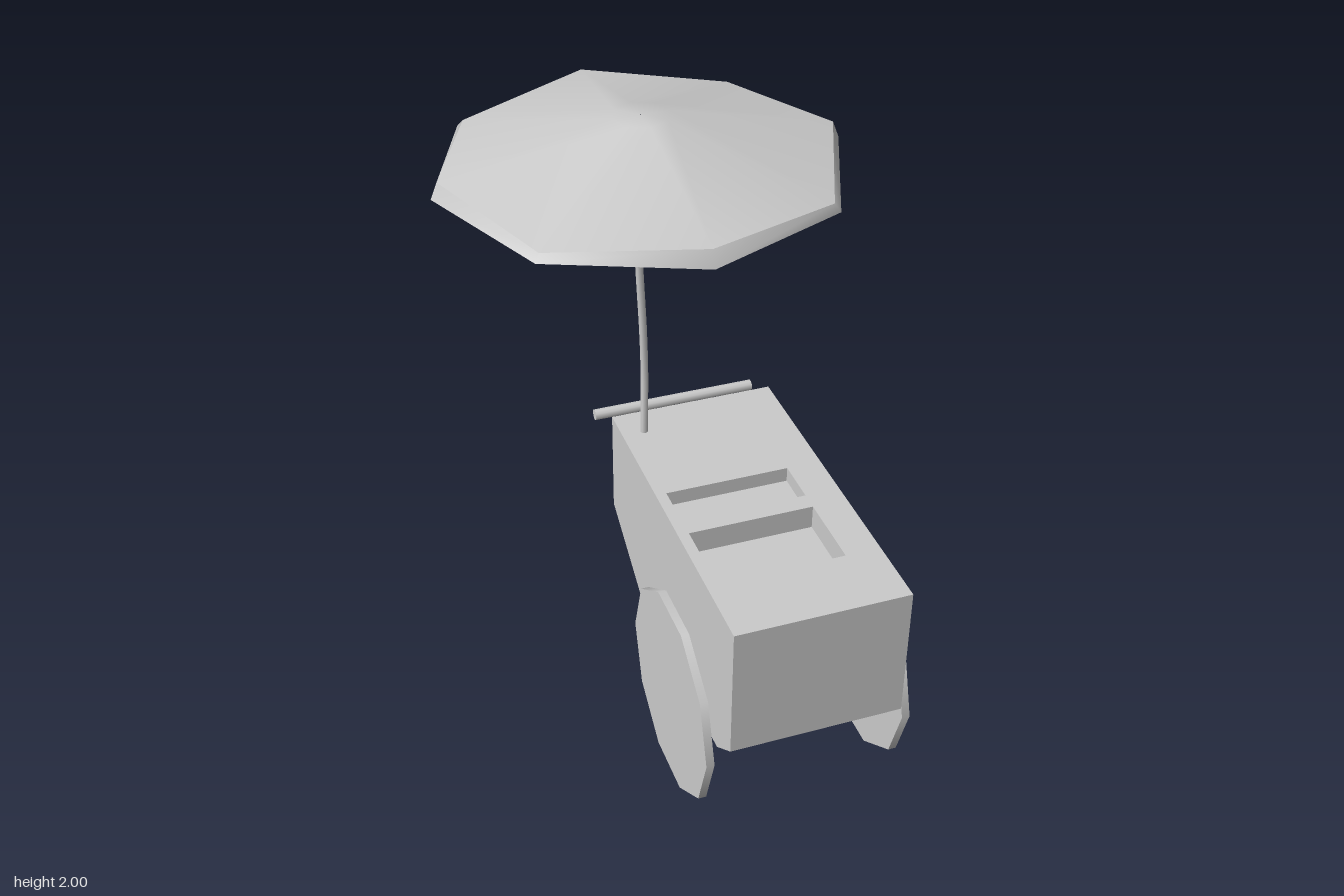
import * as THREE from 'three';

const grey = new THREE.MeshStandardMaterial({ color: 0xcccccc });
const thin = new THREE.MeshStandardMaterial({ color: 0xcccccc, side: THREE.DoubleSide });

export function createModel() {
  const model = new THREE.Group();
  const add = (name, geometry, x = 0, y = 0, z = 0, material = grey) => {
    const mesh = new THREE.Mesh(geometry, material);
    mesh.name = name;
    mesh.position.set(x, y, z);
    model.add(mesh);
    return mesh;
  };
  const polygon = (points) => points.map(([a, b]) => new THREE.Vector2(a, b));
  const rectangle = (x0, x1, z0, z1) => polygon([[x0, -z0], [x0, -z1], [x1, -z1], [x1, -z0]]);

  // Cart box: side profile (z, y) extruded across the width
  const left = 0.48, right = -0.075, width = left - right, middle = (left + right) / 2;
  const top = 0.877, floor = 0.797, front = 0.836, back = -0.3;
  const profile = new THREE.Shape(polygon([
    [back, floor], [back, 0.515], [0, 0.333], [0.725, 0.333], [front, 0.42], [front, floor],
  ]));
  const body = new THREE.ExtrudeGeometry(profile, { depth: width, bevelEnabled: false });
  body.rotateY(-Math.PI / 2);
  add('cartBody', body, left);

  // Countertop with two wells
  const counter = new THREE.Shape(rectangle(right, left, back, front));
  const wells = [[-0.04, 0.366, 0.36, 0.61], [-0.04, 0.366, 0.15, 0.3]];
  for (const w of wells) counter.holes.push(new THREE.Path(rectangle(...w)));
  const counterGeometry = new THREE.ExtrudeGeometry(counter, { depth: top - floor, bevelEnabled: false });
  counterGeometry.rotateX(-Math.PI / 2);
  add('countertop', counterGeometry, 0, floor);
  // Raised floor of the shallower rear well
  add('rearWellFloor', new THREE.BoxGeometry(0.406, 0.03, 0.15), 0.163, floor + 0.015, 0.225);

  // Axle, its housing and the wheels
  const wheelY = 0.327, wheelZ = 0.447;
  add('axleHousing', new THREE.BoxGeometry(width, 0.072, 0.165), middle, 0.301, wheelZ);
  add('axle', new THREE.CylinderGeometry(0.04, 0.04, 0.63, 12).rotateZ(Math.PI / 2), 0.204, 0.33, wheelZ);
  for (const [name, x] of [['leftWheel', 0.526], ['rightWheel', -0.119]]) {
    add(name, new THREE.CylinderGeometry(0.343, 0.343, 0.026, 10).rotateZ(Math.PI / 2), x, wheelY, wheelZ);
  }

  // Push handle
  add('handle', new THREE.CylinderGeometry(0.019, 0.019, 0.556, 10).rotateZ(Math.PI / 2), 0.162, 0.852, -0.365);

  // Slightly crooked umbrella pole
  const path = new THREE.CatmullRomCurve3([
    [0, 0, -0.19], [0, 0.45, -0.19], [0, 0.877, -0.19], [0.006, 1.09, -0.2],
    [0.002, 1.25, -0.198], [-0.014, 1.6, -0.19], [-0.006, 1.83, -0.19], [-0.003, 1.985, -0.195],
  ].map((p) => new THREE.Vector3(...p)));
  add('umbrellaPole', new THREE.TubeGeometry(path, 28, 0.013, 8), 0, 0, 0, thin);
  add('poleFoot', new THREE.CircleGeometry(0.013, 8).rotateX(Math.PI / 2), 0, 0.001, -0.19);

  // Eight-sided umbrella: each ring is [radius, height at axis corners, height at diagonal corners]
  const sides = 8;
  const skin = (rings) => {
    const positions = [], index = [];
    rings.forEach(([r, yAxis, yDiagonal], j) => {
      for (let i = 0; i < sides; i++) {
        const a = (i / sides) * Math.PI * 2;
        positions.push(r * Math.cos(a), i % 2 ? yDiagonal : yAxis, r * Math.sin(a));
        if (j === rings.length - 1) continue;
        const p = j * sides + i, q = j * sides + ((i + 1) % sides);
        index.push(p, p + sides, q, q, p + sides, q + sides);
      }
    });
    const geometry = new THREE.BufferGeometry();
    geometry.setAttribute('position', new THREE.Float32BufferAttribute(positions, 3));
    geometry.setIndex(index);
    geometry.computeVertexNormals();
    return geometry;
  };
  const edge = [0.614, 1.882, 1.853];
  add('umbrellaRim', skin([[0.635, 1.83, 1.83], edge]), 0, 0, -0.2, thin);
  add('umbrellaCanopy', skin([edge, [0.09, 1.998, 1.998], [0.002, 2, 2]]), 0, 0, -0.2, thin);

  return model;
}
